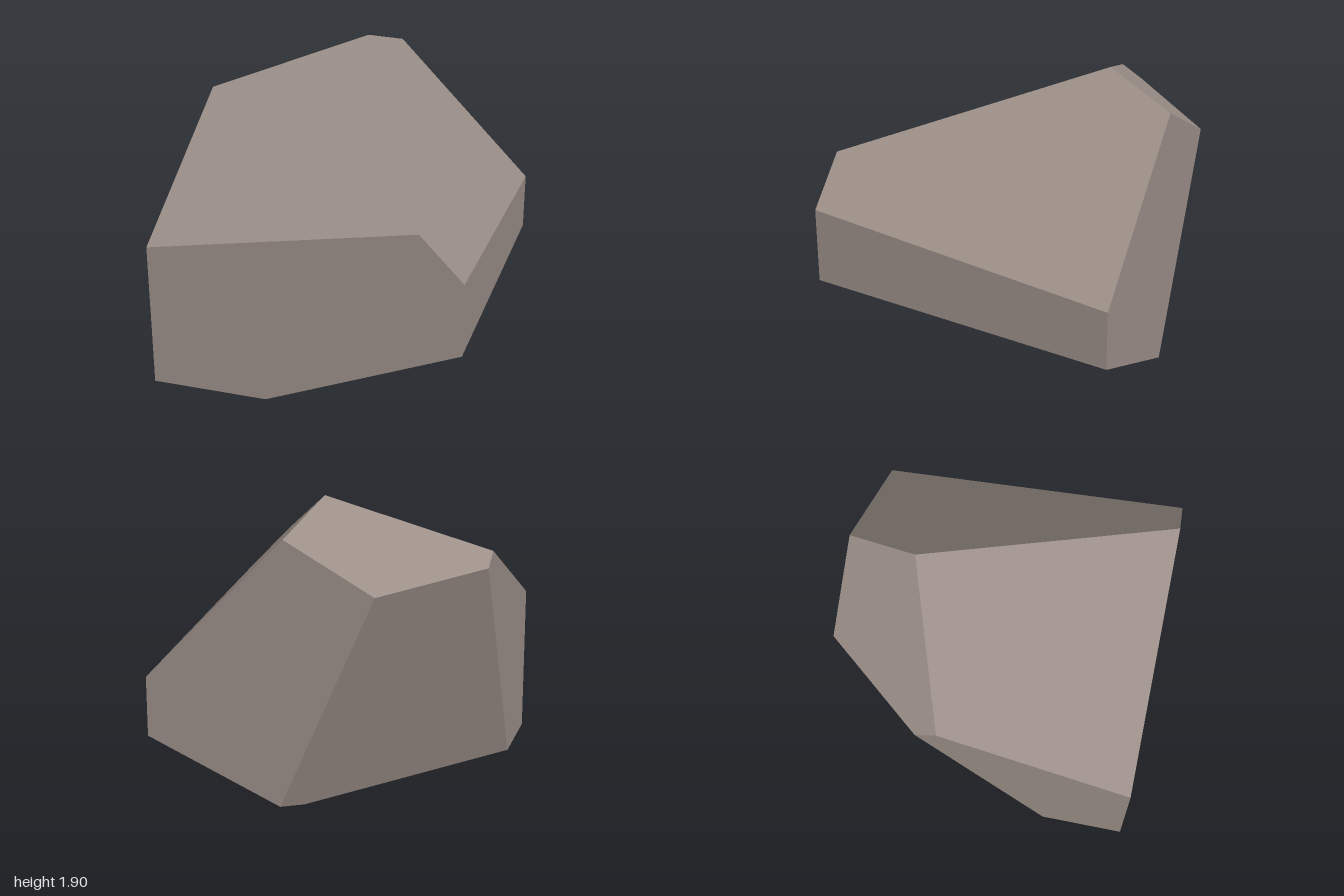
import * as THREE from 'three';

// Corners of the faceted boulder
const corners = {
  // front outline
  frontFootRight: [-1, 0, 1], frontShoulderRight: [-1, 0.98, 1],
  frontRidge: [0.72, 1.33, 1], frontShoulderLeft: [1, 1.04, 1],
  frontChinLeft: [1, 0.545, 1], frontFootLeft: [-0.25, 0, 1],
  // top and x = -1 side
  peak: [-0.02, 1.905, -0.55], sideTop: [-1, 1.55, -0.225],
  sideBack: [-1, 1.472, -0.36], sideFoot: [-1, 0, 0.46],
  // back outline
  backShoulder: [1, 0.795, -1], backRidge: [0.1, 1.72, -1],
  backTop: [-0.46, 1.41, -1], backFoot: [0.135, 0.035, -1],
  backChin: [1, 0.41, -1], baseBack: [0.03, 0, -0.84],
};

// Each flat facet as a loop of corners
const facets = [
  ['frontFootRight', 'frontFootLeft', 'frontChinLeft', 'frontShoulderLeft', 'frontRidge', 'frontShoulderRight'],
  ['frontChinLeft', 'backChin', 'backShoulder', 'frontShoulderLeft'],
  ['backChin', 'backFoot', 'backTop', 'backRidge', 'backShoulder'],
  ['frontFootRight', 'frontShoulderRight', 'sideTop', 'sideBack', 'sideFoot'],
  ['frontFootRight', 'sideFoot', 'baseBack', 'frontFootLeft'],
  ['frontShoulderRight', 'frontRidge', 'peak', 'sideTop'],
  ['frontRidge', 'frontShoulderLeft', 'backShoulder', 'backRidge', 'peak'],
  ['peak', 'backRidge', 'backTop', 'sideBack', 'sideTop'],
  ['sideBack', 'backTop', 'backFoot', 'baseBack', 'sideFoot'],
  ['frontFootLeft', 'baseBack', 'backFoot', 'backChin', 'frontChinLeft'],
];

// Fan each facet into triangles facing away from the middle, with one normal per facet
function facetedSolid() {
  const middle = new THREE.Vector3(0, 0.8, 0);
  const positions = [], normals = [];
  for (const facet of facets) {
    const loop = facet.map((name) => new THREE.Vector3(...corners[name]));
    const normal = new THREE.Vector3();
    loop.forEach((p, i) => normal.add(p.clone().cross(loop[(i + 1) % loop.length])));
    normal.normalize();
    if (normal.dot(loop[0].clone().sub(middle)) < 0) {
      loop.reverse();
      normal.negate();
    }
    for (let i = 1; i < loop.length - 1; i++) {
      for (const p of [loop[0], loop[i], loop[i + 1]]) {
        positions.push(p.x, p.y, p.z);
        normals.push(normal.x, normal.y, normal.z);
      }
    }
  }
  const geometry = new THREE.BufferGeometry();
  geometry.setAttribute('position', new THREE.Float32BufferAttribute(positions, 3));
  geometry.setAttribute('normal', new THREE.Float32BufferAttribute(normals, 3));
  return geometry;
}

export function createModel() {
  const stone = new THREE.MeshStandardMaterial({ color: 0x9c8f88 });
  stone.name = 'stone';

  const group = new THREE.Group();
  group.name = 'rock';
  const boulder = new THREE.Mesh(facetedSolid(), stone);
  boulder.name = 'boulder';
  group.add(boulder);
  return group;
}
